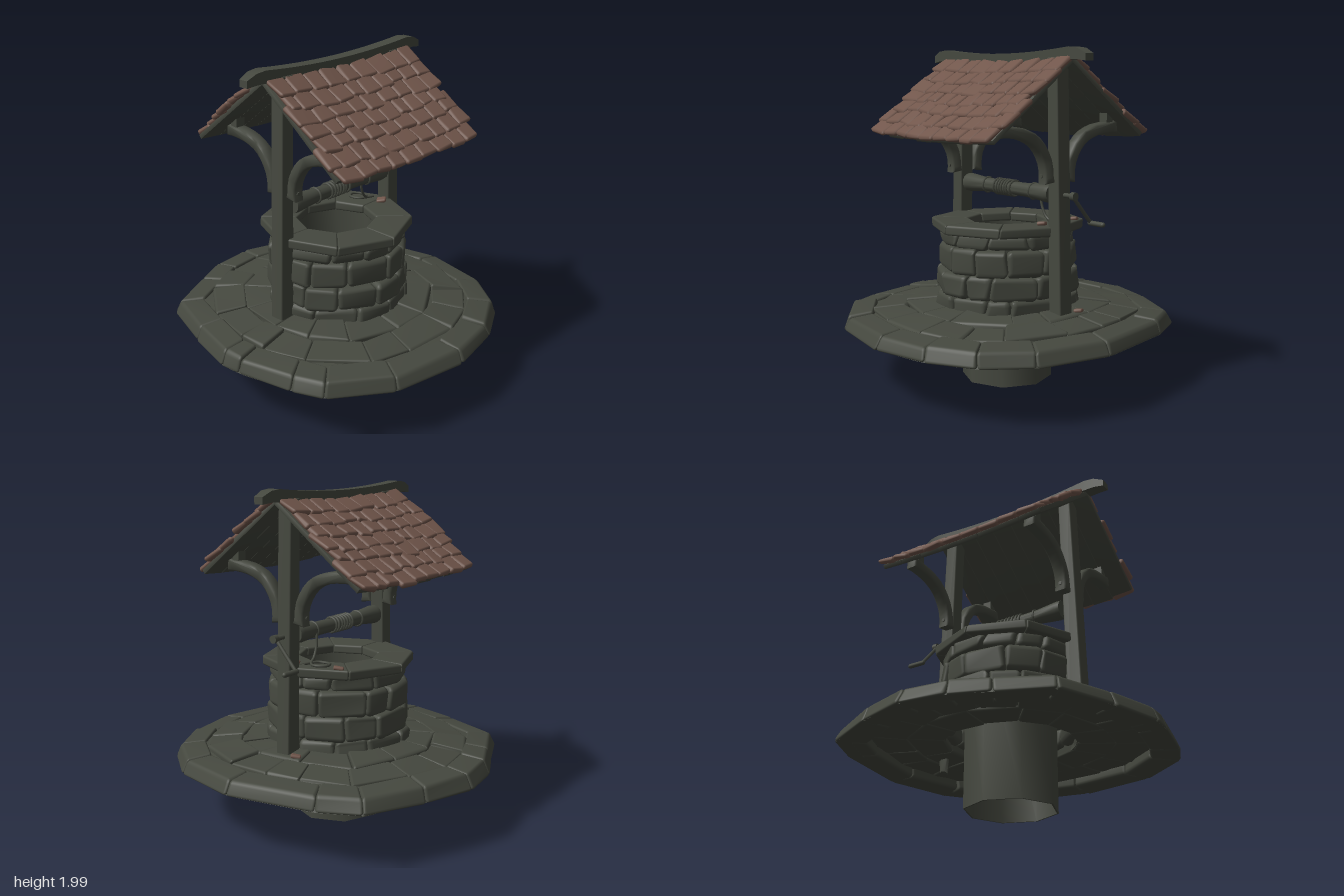
import * as THREE from 'three';
import { RoundedBoxGeometry } from 'three/addons/geometries/RoundedBoxGeometry.js';
import { mergeVertices, mergeGeometries, toCreasedNormals } from 'three/addons/utils/BufferGeometryUtils.js';

const stoneWood = new THREE.MeshStandardMaterial({ color: 0x45483f });
stoneWood.name = 'dark stone and wood';
const clay = new THREE.MeshStandardMaterial({ color: 0x71564b });
clay.name = 'brown clay';

let seed = 7;
const rand = (a = 0, b = 1) => {
  seed = (seed * 16807) % 2147483647;
  return a + (b - a) * (seed / 2147483647);
};

// Moves every vertex by a rule, then smooths the result
function warp(geo, rule) {
  const p = geo.attributes.position, v = new THREE.Vector3();
  for (let i = 0; i < p.count; i++) {
    rule(v.fromBufferAttribute(p, i));
    p.setXYZ(i, v.x, v.y, v.z);
  }
  geo.computeVertexNormals();
  return geo;
}

// Soft-edged box with shared vertices
function softBox(w, h, d, r, seg = 2) {
  const g = new RoundedBoxGeometry(w, h, d, seg, r);
  g.deleteAttribute('uv');
  g.deleteAttribute('normal');
  return mergeVertices(g, 1e-5);
}

const dent = (v, k) => {
  const a = Math.sin(v.x * 31 + v.y * 47 + v.z * 23), b = Math.sin(v.x * 19 - v.y * 37 + v.z * 41);
  v.x += a * k; v.y += b * k * 0.7; v.z += (a - b) * k * 0.6;
};

const lathe = (pts, n) => new THREE.LatheGeometry(pts.map(p => new THREE.Vector2(...p)), n);

// Outline of the paved ground, as radius by angle
const outline = [[0.965, -0.04], [0.89, 0.44], [0.655, 0.765], [0.47, 0.84], [0.13, 0.925], [0, 0.935],
  [-0.33, 0.855], [-0.69, 0.735], [-0.83, 0.44], [-0.93, 0.23], [-0.97, -0.04], [-0.875, -0.36],
  [-0.71, -0.71], [-0.48, -0.83], [0.06, -0.945], [0.5, -0.85], [0.75, -0.66], [0.9, -0.39]]
  .map(([x, z]) => ({ a: Math.atan2(z, x), r: Math.hypot(x, z) * 1.01 }));
for (let i = 1; i < outline.length; i++) while (outline[i].a < outline[i - 1].a) outline[i].a += Math.PI * 2;
const TAU = Math.PI * 2;
function edgeRadius(a) {
  const start = outline[0].a;
  a = start + ((((a - start) % TAU) + TAU) % TAU);
  let i = outline.length - 1;
  while (i > 0 && outline[i].a > a) i--;
  const p = outline[i], n = outline[(i + 1) % outline.length];
  const end = i === outline.length - 1 ? n.a + TAU : n.a;
  return p.r * n.r * Math.sin(end - p.a) / (p.r * Math.sin(a - p.a) + n.r * Math.sin(end - a));
}

// One stone filling the wedge a0..a1, between two radius rules
function wedge({ a0, a1, rin, rout, y0, top, round = 0.016, taper = 0, k = 0.006 }) {
  const am = (a0 + a1) / 2, w = rout(am) * (a1 - a0), d = rout(am) - rin(am), h = top(rout(am)) - y0;
  const g = softBox(w, h, d, Math.min(round, h * 0.45, w * 0.45, d * 0.45));
  return warp(g, v => {
    const u = 0.5 - v.x / w, t = v.y / h + 0.5, s = v.z / d + 0.5;
    const corner = a => {
      const r = rin(a) + (rout(a) - taper * t - rin(a)) * s;
      return [r * Math.cos(a), r * Math.sin(a)];
    };
    const p = corner(a0), q = corner(a1);
    v.x = p[0] + (q[0] - p[0]) * u;
    v.z = p[1] + (q[1] - p[1]) * u;
    v.y = y0 + t * (top(Math.hypot(v.x, v.z)) - y0);
    dent(v, k);
  });
}

// Uneven angles around a full turn
const splits = (n, shift, wobble) => {
  const list = Array.from({ length: n }, (_, i) => shift + (i + rand(-wobble, wobble)) * TAU / n);
  list.push(list[0] + TAU);
  return list;
};
function ring(angles, make) {
  const parts = [];
  for (let i = 0; i < angles.length - 1; i++) parts.push(wedge({ a0: angles[i], a1: angles[i + 1], ...make() }));
  return mergeGeometries(parts);
}

export function createModel() {
  const model = new THREE.Group();
  const add = (name, geo, mat = stoneWood, parent = model) => {
    const m = new THREE.Mesh(geo, mat);
    m.name = name;
    parent.add(m);
    return m;
  };
  const tube = (name, pts, r, n = 16) =>
    add(name, new THREE.TubeGeometry(new THREE.CatmullRomCurve3(pts.map(p => new THREE.Vector3(...p))), n, r, 8));

  // Paved ground: edge stones, two inner rings and a thin bed with a rim
  const ground = lift => r => 0.543 - 0.12 * r + lift;
  add('edgePaving', ring([...outline.map(o => o.a), outline[0].a + TAU], () => ({
    rin: a => 0.81 * edgeRadius(a), rout: edgeRadius, y0: 0.34, top: ground(rand(-0.01, 0.006)), taper: 0.038, round: 0.02, k: 0.004 })));
  add('middlePaving', ring(splits(17, 0.2, 0.25), () => ({
    rin: a => 0.61 * edgeRadius(a), rout: a => 0.82 * edgeRadius(a), y0: 0.39, top: ground(rand(-0.012, 0.01)), k: 0.01 })));
  add('innerPaving', ring(splits(13, 0.1, 0.25), () => ({
    rin: () => 0.38, rout: a => 0.62 * edgeRadius(a), y0: 0.39, top: ground(rand(-0.012, 0.01)), k: 0.01 })));
  const bed = lathe([[0.38, 0.405], [0.85, 0.4], [0.9, 0.342], [0.985, 0.342], [0.955, 0.4], [0.85, 0.425], [0.38, 0.45], [0.38, 0.405]], 72);
  add('pavingBed', toCreasedNormals(warp(bed, v => {
    if (Math.hypot(v.x, v.z) > 0.5) {
      const s = edgeRadius(Math.atan2(v.z, v.x));
      v.x *= s; v.z *= s;
    }
  }), 0.5));

  // Well shaft: octagonal pipe, open at both ends
  add('shaft', toCreasedNormals(lathe([[0.265, 0], [0.275, 0], [0.275, 0.94], [0.265, 0.94], [0.265, 0]], 8), 0.9));

  // Stone courses and rim
  [[0.44, 0.56, 0.44], [0.55, 0.695, 0.437], [0.69, 0.848, 0.425], [0.845, 0.94, 0.415]].forEach(([y0, y1, r], i) => {
    add('wallCourse' + (i + 1), ring(splits(12, i * 0.31, 0.22), () => {
      const out = r + rand(-0.008, 0.01);
      return { rin: () => 0.33, rout: () => out, y0, top: () => y1, round: 0.032, k: 0.007 };
    }));
  });
  add('rim', ring(splits(8, 0, 0), () => ({
    rin: () => 0.24, rout: () => 0.465, y0: 0.925, top: () => 0.983, round: 0.014, k: 0.003 })));

  // Leaning posts, braces and struts
  for (const [name, zb, zt] of [['front', 0.463, 0.42], ['back', -0.485, -0.445]]) {
    add(name + 'Post', warp(softBox(0.092, 1.53, 0.09, 0.008, 1), v => {
      const t = v.y / 1.53 + 0.5;
      v.z = v.z * (1.1 - 0.2 * t) + zb + (zt - zb) * t;
      v.y += 1.175;
    }));
    const curve = new THREE.SplineCurve([[0.08, 1.24], [0.095, 1.36], [0.17, 1.47], [0.29, 1.525], [0.45, 1.54]]
      .map(p => new THREE.Vector2(...p)));
    const inner = [], outer = [];
    for (let i = 0; i <= 12; i++) {
      const p = curve.getPoint(i / 12), t = curve.getTangent(i / 12);
      const h = i === 0 || i === 12 ? 0.036 : 0.03;
      inner.push(new THREE.Vector2(p.x + t.y * h, p.y - t.x * h));
      outer.unshift(new THREE.Vector2(p.x - t.y * h, p.y + t.x * h));
    }
    const brace = toCreasedNormals(new THREE.ExtrudeGeometry(new THREE.Shape([...inner, ...outer]),
      { depth: 0.055, bevelSize: 0.01, bevelThickness: 0.01, bevelSegments: 1, bevelOffset: -0.008 }), 0.9);
    for (const s of [1, -1]) {
      const m = add(name + (s > 0 ? 'LeftBrace' : 'RightBrace'), brace);
      m.rotation.y = s > 0 ? 0 : Math.PI;
      m.position.z = zt - s * 0.0275;
      add(name + 'Strut', new THREE.BoxGeometry(0.05, 0.1, 0.06)).position.set(s * 0.39, 1.585, zt);
      const bolt = add(name + 'Bolt', new THREE.CylinderGeometry(0.012, 0.012, 0.07, 8));
      bolt.rotation.z = Math.PI / 2;
      bolt.position.set(s * 0.085, 1.28, zt + 0.005);
    }
  }
  add('postStub', warp(new THREE.CylinderGeometry(0.045, 0.035, 0.13, 7), v => dent(v, 0.015)))
    .position.set(0, 0.37, -0.487);

  // Sagging ridge beam with drooping ends
  const sag = depth => v => { v.y -= depth * (1 - Math.min(1, (v.z / 0.6) ** 2)); };
  const beamSag = sag(0.033);
  add('ridgeBeam', toCreasedNormals(warp(new THREE.BoxGeometry(0.08, 0.07, 1.39, 1, 1, 22), v => {
    const over = Math.max(0, Math.abs(v.z) - 0.61);
    v.x *= 1 - over * 3;
    v.y = v.y * (1 - over * 5) + 1.963 - over * 0.3;
    beamSag(v);
  }), 0.6));

  // Roof slopes: boards running down, tiles in overlapping courses
  const tilt = new THREE.Matrix4().makeRotationZ(-0.658).setPosition(0, 1.985, 0);
  for (const [side, turn] of [['left', 0], ['right', Math.PI]]) {
    const finish = parts => warp(mergeGeometries(parts).applyMatrix4(tilt), sag(0.022)).rotateY(turn);
    const boards = [], tiles = [];
    for (let i = 0; i < 8; i++) {
      const len = 0.71 + rand(-0.01, 0.01);
      boards.push(softBox(len, 0.028, 0.141, 0.003, 1).translate(0.03 + len / 2, -0.044, (i - 3.5) * 0.142));
    }
    for (let c = 0; c < 7; c++) {
      let z = -0.575 + rand(-0.025, 0.025);
      const end = 0.565 + rand(-0.025, 0.025), cuts = 9 + (c % 2);
      const step = (end - z) / cuts;
      for (let i = 0; i < cuts; i++) {
        const w = step + rand(-0.02, 0.02), len = 0.15 + rand(-0.015, 0.015);
        const wide = i === cuts - 1 ? end - z : w;
        tiles.push(warp(softBox(len, 0.034, wide - 0.001, 0.015, 1)
          .rotateX(rand(-0.08, 0.08)).rotateZ(0.1 + rand(-0.03, 0.05))
          .translate(0.108 + c * 0.098 + rand(-0.014, 0.014), -0.017, z + wide / 2), v => dent(v, 0.005)));
        z += wide;
      }
    }
    add(side + 'RoofBoards', toCreasedNormals(finish(boards), 0.6));
    add(side + 'RoofTiles', finish(tiles), clay);
  }

  // Windlass drum with wound rope
  const drum = add('drum', toCreasedNormals(lathe([[0, -0.41], [0.052, -0.41], [0.056, -0.38], [0.042, -0.2],
    [0.04, 0], [0.044, 0.2], [0.058, 0.34], [0.056, 0.37], [0, 0.37]], 14), 0.7));
  drum.rotation.x = Math.PI / 2;
  drum.position.y = 1.17;
  for (const z of [0.18, 0.08, 0.055, 0.03, 0.005, -0.02, -0.045, -0.075, -0.25]) {
    const coil = add('ropeCoil', new THREE.TorusGeometry(0.045, 0.008, 6, 18));
    coil.position.set(0, 1.17, z);
    coil.rotation.y = rand(-0.12, 0.12);
  }
  tube('hangingRope', [[-0.04, 1.16, -0.26], [-0.045, 1.08, -0.27], [-0.05, 1.02, -0.3], [-0.06, 0.995, -0.34],
    [-0.11, 0.993, -0.37], [-0.17, 0.993, -0.33], [-0.15, 0.993, -0.28], [-0.08, 0.995, -0.29], [-0.04, 0.995, -0.38]], 0.008, 40);

  // Crank
  tube('axle', [[0, 1.17, -0.38], [0, 1.17, -0.6]], 0.014, 1);
  const hub = add('crankHub', new THREE.CylinderGeometry(0.024, 0.024, 0.03, 10));
  hub.rotation.x = Math.PI / 2;
  hub.position.set(0, 1.17, -0.585);
  tube('crankArm', [[0, 1.17, -0.575], [-0.145, 1.005, -0.575]], 0.011, 1);
  const grip = add('crankGrip', new THREE.CapsuleGeometry(0.015, 0.1, 4, 10));
  grip.rotation.x = Math.PI / 2;
  grip.position.set(-0.145, 1.005, -0.62);

  // Fallen tile chips
  for (const [x, y, z] of [[-0.25, 0.99, -0.325], [0.04, 0.995, -0.365], [-0.1, 0.49, -0.53]]) {
    const chip = add('tileChip', softBox(0.06, 0.022, 0.05, 0.008, 1), clay);
    chip.geometry.computeVertexNormals();
    chip.position.set(x, y, z);
    chip.rotation.set(0.15, 0.6, 0.1);
  }
  return model;
}
